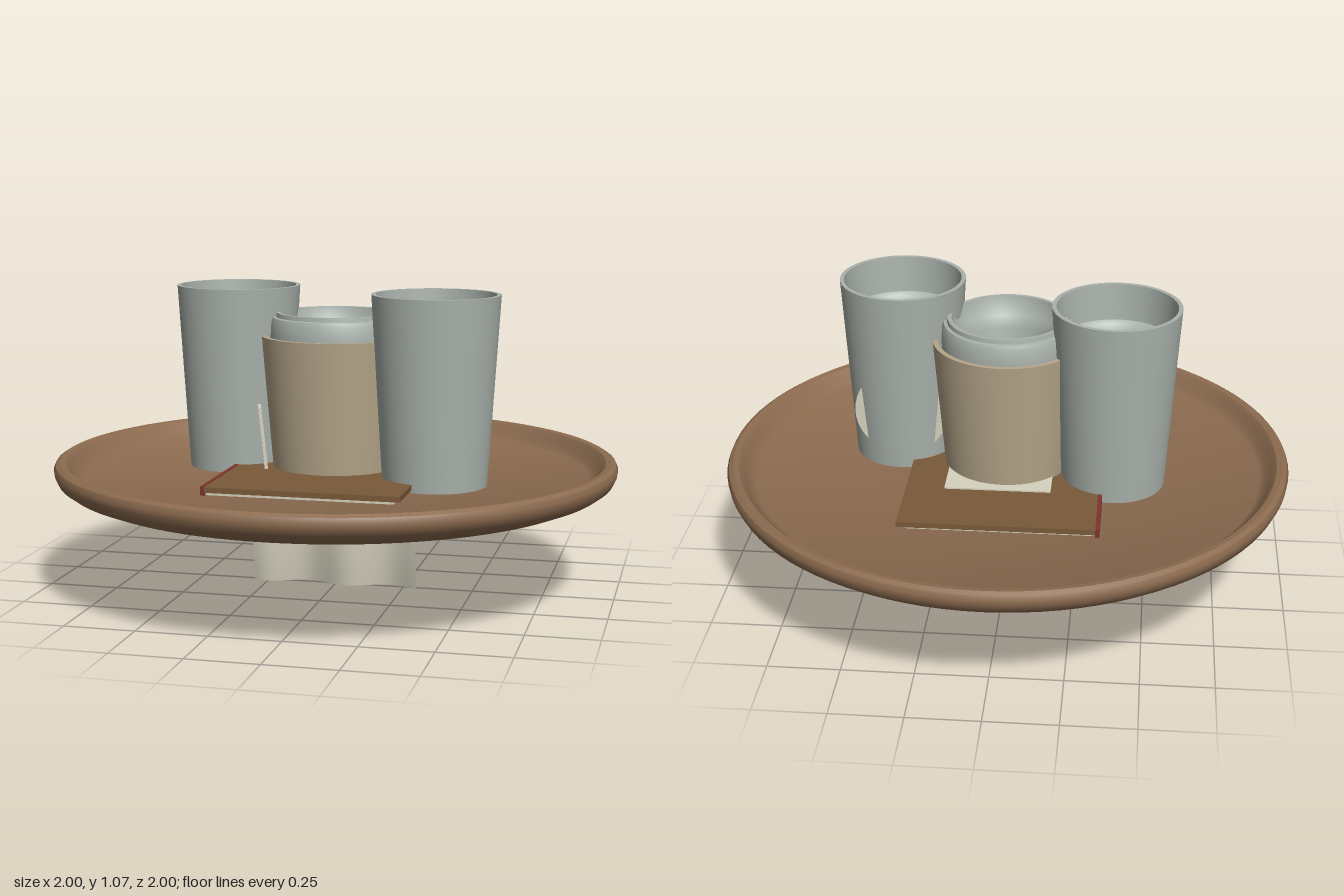
import * as THREE from 'three';
import { toCreasedNormals } from 'three/addons/utils/BufferGeometryUtils.js';

const paint = (color) => new THREE.MeshStandardMaterial({ color, side: THREE.DoubleSide });
const wood = paint(0x8d6c50);
const glass = paint(0xaab2ac);
const sleeveCard = paint(0xb5a68a);
const paper = paint(0xd6d2bf);
const cover = paint(0x7a5a38);
const spineRed = paint(0x7d332c);
const water = paint(0x93a9b0);
const tea = paint(0xa57838);

// Adds one named mesh to a parent
function add(parent, name, geometry, material, x = 0, y = 0, z = 0) {
  const mesh = new THREE.Mesh(geometry, material);
  mesh.name = name;
  mesh.position.set(x, y, z);
  parent.add(mesh);
  return mesh;
}

// Turned shape from [radius, height] pairs, crisp only at real corners
function turned(points, segments = 64) {
  const profile = points.map(([r, y]) => new THREE.Vector2(r, y));
  return toCreasedNormals(new THREE.LatheGeometry(profile, segments), 0.6);
}

// Tapered tumbler with a stepped inner wall and a pool of water
function tumbler(name, x, z) {
  const group = new THREE.Group();
  group.name = name;
  group.position.set(x, 0, z);
  add(group, 'tumblerWall', turned([
    [0, 0.4], [0.181, 0.4], [0.222, 1.07], [0.207, 1.07], [0.198, 0.94],
    [0.183, 0.93], [0.165, 0.9], [0.155, 0.66], [0, 0.64],
  ]), glass);
  add(group, 'tumblerWater', turned([[0.155, 0.68], [0.12, 0.7], [0.06, 0.712], [0, 0.716]]), water);
  return group;
}

// Hanging cloth: a plane bent into folds that deepen towards the hem
function hangingCloth() {
  const height = 0.345;
  const geometry = new THREE.PlaneGeometry(0.6, height, 48, 10);
  const p = geometry.attributes.position;
  for (let i = 0; i < p.count; i++) {
    const x = p.getX(i);
    const y = p.getY(i) + height / 2;
    const t = 1 - y / height;
    const fold = (0.015 + 0.009 * t) * Math.sin(x * 21 + 0.6);
    p.setXYZ(i, x, y, 0.037 - 0.033 * t * t + fold);
  }
  geometry.computeVertexNormals();
  return geometry;
}

export function createModel() {
  const model = new THREE.Group();
  model.name = 'roundTrayWithDrinks';

  // Round tray with a raised, rounded rim
  add(model, 'tray', turned([
    [0, 0.363], [0.905, 0.363], [0.955, 0.383], [0.985, 0.405], [0.997, 0.43],
    [1, 0.45], [0.993, 0.466], [0.978, 0.475], [0.958, 0.472], [0.94, 0.455],
    [0.922, 0.425], [0.9, 0.412], [0, 0.41],
  ], 96), wood);

  // Book let into the tray
  const book = new THREE.Group();
  book.name = 'book';
  model.add(book);
  for (const [name, y] of [['bottomCover', 0.3445], ['topCover', 0.431]])
    add(book, name, new THREE.BoxGeometry(0.67, 0.019, 1.015), cover, 0, y, -0.002);
  add(book, 'pages', new THREE.BoxGeometry(0.645, 0.07, 0.99), paper, -0.01, 0.3875, -0.002);
  add(book, 'spine', new THREE.BoxGeometry(0.014, 0.104, 1.015), spineRed, -0.342, 0.39, -0.002);
  add(book, 'paperNapkin', new THREE.BoxGeometry(0.37, 0.005, 0.36), paper, 0.015, 0.443, -0.08);

  // Middle cup with card sleeve and tea
  const cup = new THREE.Group();
  cup.name = 'teaCup';
  model.add(cup);
  add(cup, 'sleeve', turned([
    [0.215, 0.34], [0.227, 0.475], [0.263, 0.905], [0.245, 0.905], [0.232, 0.84],
  ]), sleeveCard);
  add(cup, 'cupWall', turned([
    [0.2, 0.5], [0.232, 0.9], [0.228, 0.955], [0.222, 0.97], [0.211, 0.972], [0.209, 0.987],
    [0.195, 0.987], [0.187, 0.94], [0.173, 0.92], [0.158, 0.88], [0.15, 0.66], [0, 0.64],
  ]), glass);
  add(cup, 'tea', turned([[0.154, 0.71], [0.12, 0.725], [0.06, 0.737], [0, 0.741]]), tea);
  add(cup, 'cupFoot', turned([[0, 0.338], [0.12, 0.333], [0.185, 0.332], [0.205, 0.345]]), paper);

  // Tag leaning on the sleeve
  const tag = add(model, 'tag', new THREE.BoxGeometry(0.012, 0.24, 0.11), paper, -0.243, 0.54, 0.1);
  tag.rotation.set(0, 0.3, 0.1);

  // Two tumblers, the left one holding a fruit slice
  model.add(tumbler('rightTumbler', -0.38, -0.08), tumbler('leftTumbler', 0.382, 0.127));
  const slice = add(model, 'fruitSlice', new THREE.CylinderGeometry(0.166, 0.166, 0.028, 40), paper, 0.38, 0.615, -0.003);
  slice.rotation.x = Math.PI / 2;

  // Folded cloth below the tray
  add(model, 'hangingCloth', hangingCloth(), paper);

  return model;
}
